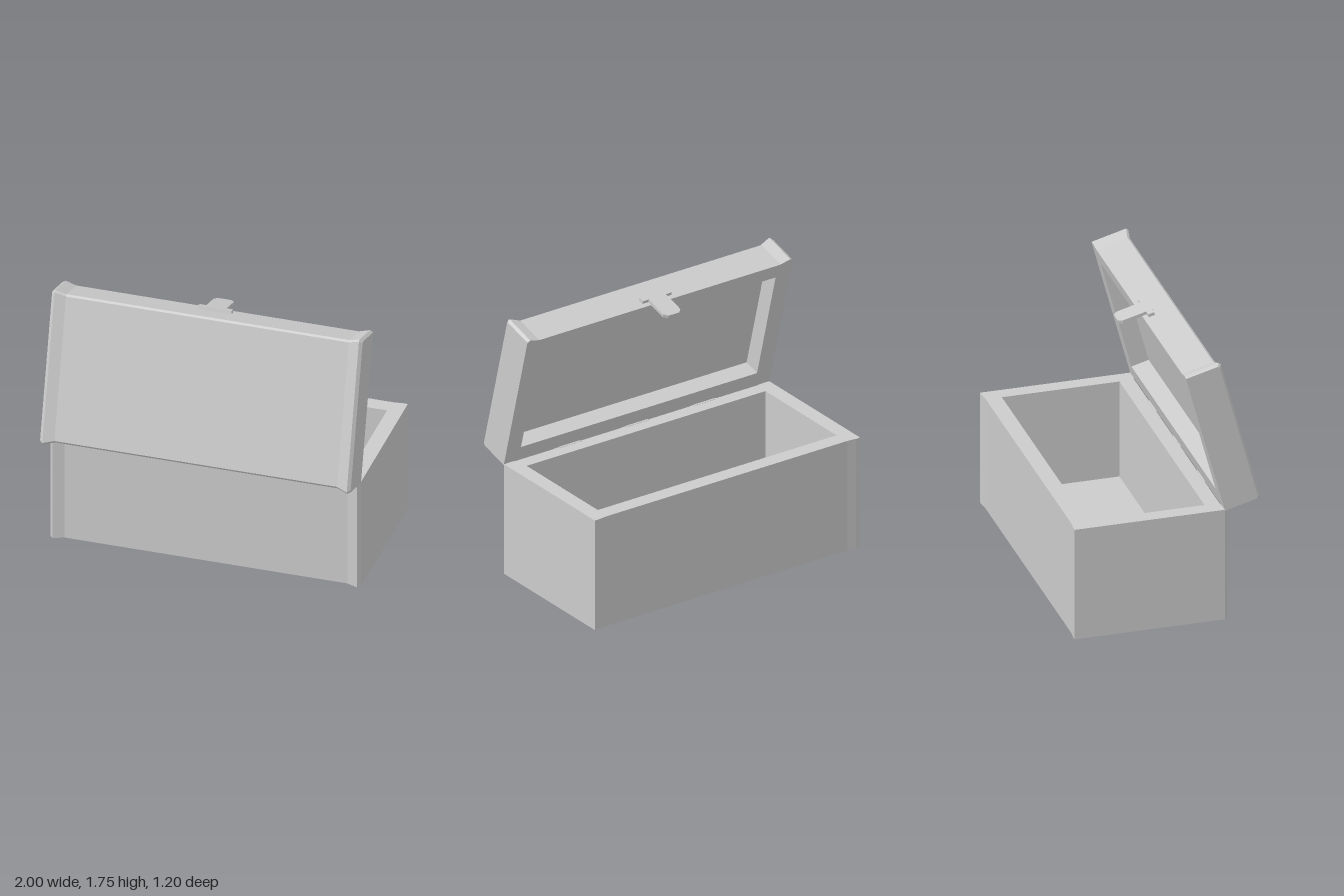
import * as THREE from 'three';

const material = new THREE.MeshStandardMaterial({ color: 0xcccccc, flatShading: true });

function add(parent, name, geometry) {
  const mesh = new THREE.Mesh(geometry, material);
  mesh.name = name;
  parent.add(mesh);
  return mesh;
}

function polygon(points) {
  return new THREE.Shape(points.map(([x, y]) => new THREE.Vector2(x, y)));
}

function rectHole(x, y0, y1) {
  return new THREE.Path([[-x, y0], [x, y0], [x, y1], [-x, y1]].map(([a, b]) => new THREE.Vector2(a, b)));
}

function extrude(shape, depth) {
  return new THREE.ExtrudeGeometry(shape, { depth, bevelEnabled: false });
}

// Mirrors the right half of an outline (bottom to top) across x = 0
function mirrored(half) {
  return polygon([...half, ...half.slice().reverse().map(([x, y]) => [-x, y])]);
}

// Skins equal-length [y, z] sections placed along x, with closed ends
function loftX(sections) {
  const n = sections[0].points.length;
  const positions = [];
  const index = [];
  for (const { x, points } of sections) for (const [y, z] of points) positions.push(x, y, z);
  for (let s = 0; s < sections.length - 1; s++) {
    for (let i = 0; i < n; i++) {
      const a = s * n + i, b = s * n + (i + 1) % n;
      index.push(a, b, b + n, a, b + n, a + n);
    }
  }
  const last = (sections.length - 1) * n;
  for (let i = 1; i < n - 1; i++) {
    index.push(0, i + 1, i, last, last + i, last + i + 1);
  }
  const geometry = new THREE.BufferGeometry();
  geometry.setAttribute('position', new THREE.Float32BufferAttribute(positions, 3));
  geometry.setIndex(index);
  const flat = geometry.toNonIndexed();
  flat.computeVertexNormals();
  return flat;
}

function buildChest(root) {
  const chest = new THREE.Group();
  chest.name = 'chest';
  chest.rotation.x = -Math.PI / 2;
  root.add(chest);
  // Plan outline with flared corner posts; shape y is -z
  const outline = () => mirrored([
    [0.91, -0.36], [0.98, -0.387], [1, -0.365], [1, 0.6], [0.97, 0.6], [0.91, 0.593],
  ]);
  const walls = outline();
  walls.holes.push(rectHole(0.9, -0.265, 0.49));
  add(chest, 'chestWalls', extrude(walls, 0.65)).position.z = 0.1;
  add(chest, 'chestFloor', extrude(outline(), 0.1));
}

function buildHinges(root) {
  // Folded profile as [-z, y], extruded along x
  const profile = polygon([
    [-0.35, 0.69], [-0.35, 0.752], [-0.395, 0.752], [-0.415, 0.743],
    [-0.413, 0.73], [-0.388, 0.708], [-0.384, 0.69],
  ]);
  for (const x of [-0.51, 0, 0.51]) {
    const geometry = extrude(profile, 0.165).translate(0, 0, -0.0825).rotateY(Math.PI / 2);
    add(root, 'hinge', geometry).position.x = x;
  }
}

function buildLid(root) {
  // Local y runs along the lid from its hinge, local z points outwards
  const lid = new THREE.Group();
  lid.name = 'lid';
  lid.position.set(0, 0.75, 0.365);
  lid.rotation.x = -0.262;
  root.add(lid);

  const length = 0.975, recess = 0.115;
  // Each station: x, amount drawn in from the end, outer height
  const stations = [
    [-1, 0.012, 0.222], [-0.98, 0, 0.238], [-0.91, 0.02, 0.22],
    [0.91, 0.02, 0.22], [0.98, 0, 0.238], [1, 0.012, 0.222],
  ];

  // Rim around the recess
  const half = stations.slice(3);
  const rim = mirrored([
    ...half.map(([x, inset]) => [x, inset - 0.02]),
    ...half.slice().reverse().map(([x, inset]) => [x, length - inset]),
  ]);
  rim.holes.push(rectHole(0.89, 0.1, 0.86));
  add(lid, 'lidRim', extrude(rim, recess));

  // Outer panel with chamfered long edges and raised ends
  const c = 0.012;
  add(lid, 'lidPanel', loftX(stations.map(([x, inset, top]) => {
    const y0 = inset - 0.02, y1 = length - inset;
    return {
      x,
      points: [[y0, recess], [y1, recess], [y1, top - c], [y1 - c, top], [y0 + c, top], [y0, top - c]],
    };
  })));

  // Clasp: a hanging strap with clipped corners and a pin at each side
  const clasp = new THREE.Group();
  clasp.name = 'clasp';
  clasp.position.y = 0.953;
  lid.add(clasp);
  const strap = mirrored([[0.04, -0.15], [0.065, -0.125], [0.065, 0.075]]);
  add(clasp, 'claspStrap', extrude(strap, 0.022).rotateX(Math.PI / 2).translate(0, 0.022, 0));
  for (const side of [-1, 1]) {
    add(clasp, 'claspPin', new THREE.BoxGeometry(0.045, 0.024, 0.04)).position.set(side * 0.086, 0.01, 0.052);
  }
}

export function createModel() {
  const root = new THREE.Group();
  root.name = 'openChest';
  buildChest(root);
  buildHinges(root);
  buildLid(root);
  return root;
}
